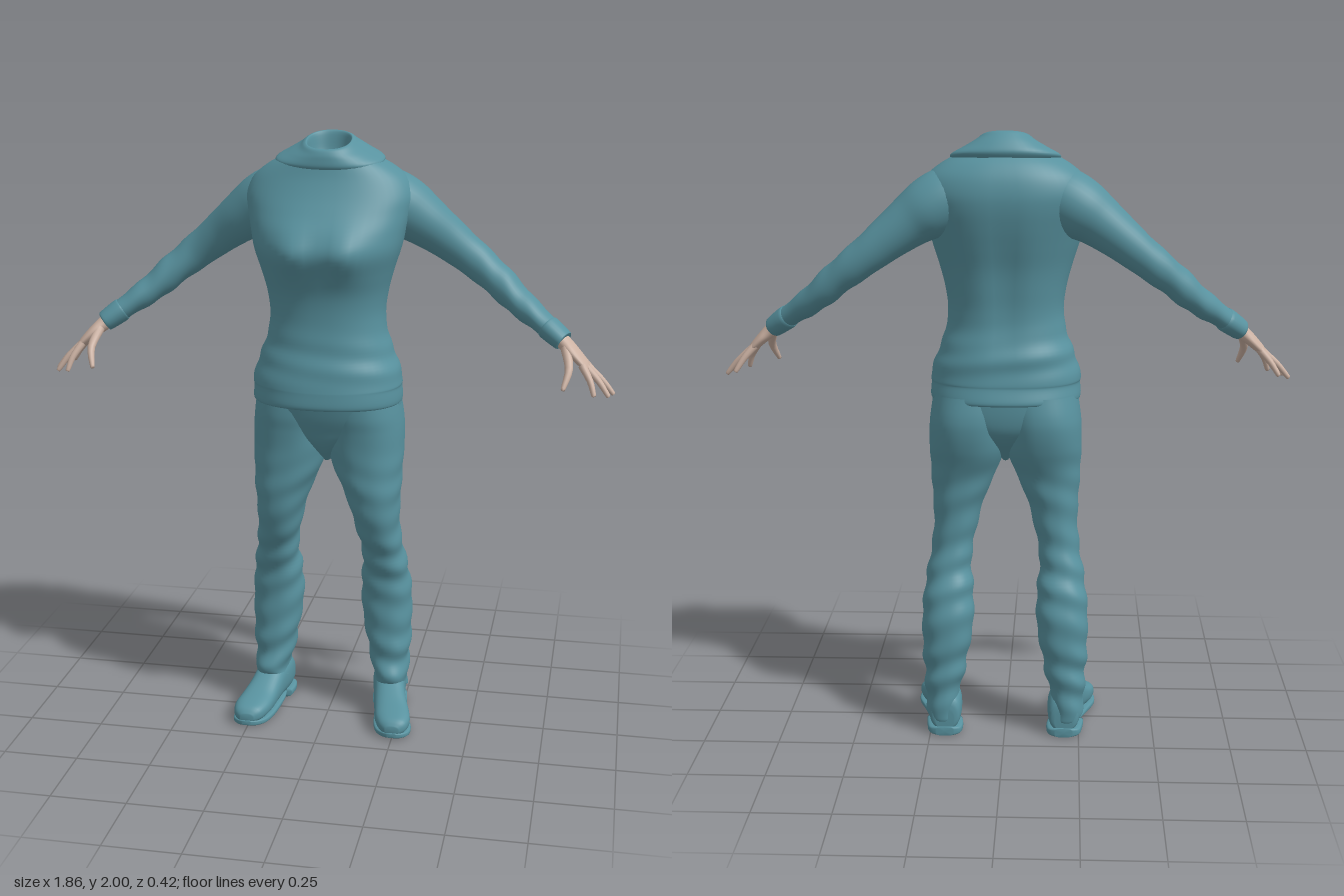
import * as THREE from 'three';

const clothMat = new THREE.MeshStandardMaterial({ color: 0x58929f });
clothMat.name = 'teal cloth';
const skinMat = new THREE.MeshStandardMaterial({ color: 0xccb2a3 });
skinMat.name = 'skin';

const V = (x, y, z) => new THREE.Vector3(x, y, z);
const spow = (c, p) => Math.sign(c) * Math.abs(c) ** p;
const bell = (x, c, w) => Math.exp(-(((x - c) / w) ** 2));

// Smoothly interpolates a table of section rows
function smooth(rows, steps) {
  const at = i => rows[Math.max(0, Math.min(rows.length - 1, i))];
  const out = [];
  for (let i = 0; i < rows.length - 1; i++) {
    for (let k = 0; k < steps; k++) {
      const t = k / steps;
      out.push(rows[i].map((b, n) => {
        const a = at(i - 1)[n], c = at(i + 1)[n], d = at(i + 2)[n];
        return b + 0.5 * t * (c - a + t * (2 * a - 5 * b + 4 * c - d + t * (3 * (b - c) + d - a)));
      }));
    }
  }
  out.push(rows[rows.length - 1]);
  return out;
}

// Skins closed rings of points; side = -1 mirrors the part across x
function loft(name, rings, mat, { side = 1, capStart = false, capEnd = false, deform } = {}) {
  const n = rings[0].length, pos = [], idx = [];
  const add = v => pos.push(v.x * side, v.y, v.z);
  const tri = (a, b, c) => (side > 0 ? idx.push(a, b, c) : idx.push(a, c, b));
  rings.forEach(r => r.forEach(v => { if (deform) deform(v); add(v); }));
  for (let i = 0; i < rings.length - 1; i++) {
    for (let j = 0; j < n; j++) {
      const a = i * n + j, b = i * n + (j + 1) % n;
      tri(a, a + n, b);
      tri(b, a + n, b + n);
    }
  }
  const cap = (ring, start, flip) => {
    const c = pos.length / 3;
    add(ring.reduce((s, v) => s.add(v), V(0, 0, 0)).divideScalar(n));
    for (let j = 0; j < n; j++) {
      const a = start + j, b = start + (j + 1) % n;
      flip ? tri(c, a, b) : tri(c, b, a);
    }
  };
  if (capStart) cap(rings[0], 0, true);
  if (capEnd) cap(rings[rings.length - 1], (rings.length - 1) * n, false);
  const g = new THREE.BufferGeometry();
  g.setAttribute('position', new THREE.Float32BufferAttribute(pos, 3));
  g.setIndex(idx);
  g.computeVertexNormals();
  const m = new THREE.Mesh(g, mat);
  m.name = name;
  return m;
}

const ring = (n, f) => Array.from({ length: n }, (_, j) => {
  const t = (j / n) * Math.PI * 2;
  return f(Math.cos(t), Math.sin(t));
});

// Level sections, bottom to top: [y, x min, x max, z front, z back, tilt]
const stack = (rows, steps = 5, p = 0.88) => smooth(rows, steps).map(([y, x0, x1, zf, zb, tilt]) =>
  ring(48, (c, s) => {
    const dz = spow(s, p) * (zf - zb) / 2;
    return V((x0 + x1) / 2 + spow(c, p) * (x1 - x0) / 2, y + dz * tilt, (zf + zb) / 2 + dz);
  }));
const centred = rows => rows.map(([y, w, zf, zb, tilt = 0]) => [y, -w, w, zf, zb, tilt]);

// Sections across a path: [x, y, z, thickness radius, width radius]
function limb(rows, steps = 5, n = 24) {
  const r = smooth(rows, steps);
  return r.map(([x, y, z, ra, rb], i) => {
    const a = r[Math.max(0, i - 1)], b = r[Math.min(r.length - 1, i + 1)];
    const d = V(b[0] - a[0], b[1] - a[1], b[2] - a[2]).normalize();
    const u = d.clone().cross(V(0, 0, 1)).normalize();
    const w = u.clone().cross(d);
    return ring(n, (c, s) => V(x, y, z).addScaledVector(u, c * ra).addScaledVector(w, s * rb));
  });
}

// Sections from back to front of a shoe: [z, x centre, half width, y bottom, y top]
const shoeRings = (rows, p) => smooth(rows, 4).map(([z, x, w, y0, y1]) =>
  ring(32, (c, s) => V(x + spow(c, p) * w, (y0 + y1) / 2 - spow(s, p) * (y1 - y0) / 2, z)));

function shapeTorso(v) {
  // bust, spine groove and soft folds over the waist
  if (v.z > 0) v.z += 0.028 * bell(Math.abs(v.x), 0.085, 0.06) * bell(v.y, 1.64, 0.075);
  else v.z += 0.014 * bell(v.x, 0, 0.045) * bell(v.y, 1.55, 0.22);
  const fold = 1 + 0.014 * Math.sin(v.y * 75 + v.x * 9) * bell(v.y, 1.29, 0.08);
  v.x *= fold;
  v.z *= fold;
}

function shapeLeg(v) {
  // creases at the thigh, knee and ankle
  const k = 0.004 * bell(v.y, 0.55, 0.16) + 0.005 * bell(v.y, 0.2, 0.12) + 0.002 * bell(v.y, 0.85, 0.1);
  const f = k * Math.sin(v.y * 62 + v.x * 22 + v.z * 16);
  v.x += f * Math.sign(v.x - 0.19) * Math.min(1, Math.abs(v.x - 0.19) * 20);
  v.z += f * Math.sign(v.z + 0.06) * Math.min(1, Math.abs(v.z + 0.06) * 20);
}

export function createModel() {
  const model = new THREE.Group();
  model.name = 'clothedFigure';

  // Sweater body
  model.add(loft('sweaterBody', stack(centred([
    [1.145, 0.2, 0.14, -0.16], [1.138, 0.238, 0.172, -0.188], [1.15, 0.246, 0.183, -0.196],
    [1.19, 0.244, 0.18, -0.184], [1.205, 0.246, 0.178, -0.183], [1.25, 0.236, 0.172, -0.178],
    [1.3, 0.218, 0.16, -0.174], [1.36, 0.197, 0.152, -0.156], [1.43, 0.188, 0.148, -0.152],
    [1.5, 0.196, 0.155, -0.158], [1.57, 0.214, 0.175, -0.167], [1.64, 0.236, 0.194, -0.183],
    [1.7, 0.25, 0.178, -0.196], [1.76, 0.265, 0.142, -0.205], [1.81, 0.272, 0.112, -0.205],
    [1.86, 0.25, 0.088, -0.193], [1.9, 0.202, 0.075, -0.17], [1.93, 0.145, 0.068, -0.14],
  ])), clothMat, { deform: shapeTorso }));

  // Collar, folded over into the neck opening
  model.add(loft('collar', stack(centred([
    [1.905, 0.165, 0.072, -0.15, -0.15], [1.922, 0.175, 0.08, -0.156, -0.16],
    [1.945, 0.134, 0.079, -0.142, -0.19], [1.964, 0.097, 0.076, -0.121, -0.25],
    [1.977, 0.079, 0.068, -0.104, -0.27], [1.975, 0.069, 0.056, -0.09, -0.27],
    [1.935, 0.062, 0.045, -0.08, -0.1], [1.915, 0.05, 0.035, -0.07, 0],
  ])), clothMat, { capEnd: true }));

  // Seat of the trousers
  model.add(loft('trouserSeat', stack(centred([
    [0.93, 0.012, 0.03, -0.06], [0.97, 0.045, 0.075, -0.105], [1.01, 0.11, 0.105, -0.145],
    [1.05, 0.19, 0.122, -0.17], [1.1, 0.238, 0.142, -0.18], [1.165, 0.238, 0.16, -0.182],
  ])), clothMat, { capStart: true }));

  const fingers = {
    indexFinger: [[0.825, 1.297, 0.05], [0.852, 1.255, 0.075], [0.866, 1.213, 0.092]],
    middleFinger: [[0.83, 1.295, 0.03], [0.877, 1.25, 0.045], [0.91, 1.205, 0.057]],
    ringFinger: [[0.83, 1.295, 0.005], [0.885, 1.248, 0.01], [0.924, 1.203, 0.013]],
    littleFinger: [[0.825, 1.3, -0.018], [0.86, 1.26, -0.031], [0.886, 1.22, -0.041]],
    thumb: [[0.77, 1.345, 0.025], [0.785, 1.292, 0.078], [0.771, 1.237, 0.117]],
  };

  for (const side of [1, -1]) {
    const pre = side > 0 ? 'left' : 'right';
    const put = (name, rings, mat, opts) => model.add(loft(pre + name, rings, mat, { side, ...opts }));

    // Sleeve and cuff
    put('Sleeve', limb([
      [0.12, 1.81, -0.06, 0.085, 0.09], [0.18, 1.79, -0.072, 0.1, 0.102], [0.24, 1.757, -0.085, 0.098, 0.1],
      [0.3, 1.718, -0.092, 0.083, 0.087], [0.38, 1.658, -0.107, 0.068, 0.07], [0.465, 1.592, -0.113, 0.058, 0.06],
      [0.54, 1.533, -0.098, 0.052, 0.06], [0.6, 1.48, -0.078, 0.047, 0.06], [0.67, 1.428, -0.045, 0.039, 0.053],
      [0.735, 1.383, -0.015, 0.032, 0.045],
    ], 6, 32), clothMat, {
      capStart: true,
      deform: v => { v.y += 0.003 * Math.sin(v.x * 70 + v.z * 20) * bell(v.x, 0.58, 0.14); },
    });
    put('Cuff', limb([
      [0.705, 1.403, -0.03, 0.034, 0.047], [0.712, 1.398, -0.027, 0.039, 0.051],
      [0.755, 1.367, -0.007, 0.035, 0.047], [0.762, 1.362, -0.004, 0.031, 0.042],
      [0.755, 1.367, -0.007, 0.026, 0.034],
    ], 3), clothMat);

    // Hand
    put('Palm', limb([
      [0.735, 1.383, -0.015, 0.024, 0.032], [0.765, 1.356, -0.003, 0.024, 0.034],
      [0.795, 1.33, 0.008, 0.02, 0.046], [0.83, 1.296, 0.015, 0.015, 0.047],
      [0.842, 1.283, 0.016, 0.009, 0.04],
    ], 4), skinMat, { capEnd: true });
    for (const [name, [root, mid, tip]] of Object.entries(fingers)) {
      const k = name === 'thumb' ? 1.25 : 1;
      const end = tip.map((t, i) => t + (t - mid[i]) * 0.06);
      put(name[0].toUpperCase() + name.slice(1), limb([
        [...root, 0.013 * k, 0.013 * k], [...mid, 0.0105 * k, 0.0105 * k],
        [...tip, 0.0075, 0.0075], [...end, 0.003, 0.003],
      ], 4, 12), skinMat, { capEnd: true });
    }

    // Trouser leg
    put('TrouserLeg', stack([
      [0.1, 0.165, 0.25, -0.01, -0.155, 0.4], [0.085, 0.152, 0.266, 0.008, -0.175, 0.4],
      [0.12, 0.155, 0.266, 0.012, -0.178, 0.3], [0.2, 0.138, 0.271, 0.001, -0.18, 0],
      [0.3, 0.118, 0.276, 0, -0.185, 0], [0.4, 0.105, 0.277, 0, -0.185, 0],
      [0.5, 0.108, 0.269, 0.01, -0.165, 0], [0.6, 0.114, 0.252, 0.042, -0.134, 0],
      [0.7, 0.095, 0.24, 0.088, -0.125, 0], [0.8, 0.068, 0.243, 0.113, -0.13, 0],
      [0.9, 0.025, 0.248, 0.12, -0.143, 0], [0.98, 0.0, 0.251, 0.123, -0.172, 0],
      [1.05, -0.005, 0.25, 0.13, -0.187, 0], [1.1, -0.01, 0.245, 0.138, -0.187, 0],
      [1.16, -0.02, 0.236, 0.14, -0.175, 0],
    ], 8), clothMat, { deform: shapeLeg });

    // Shoe with a sole and a separate heel
    put('Shoe', shoeRings([
      [-0.172, 0.2, 0.03, 0.02, 0.09], [-0.16, 0.2, 0.05, 0.016, 0.13], [-0.1, 0.203, 0.058, 0.016, 0.16],
      [-0.03, 0.212, 0.055, 0.018, 0.145], [0.02, 0.222, 0.056, 0.016, 0.118], [0.07, 0.235, 0.06, 0.012, 0.092],
      [0.12, 0.245, 0.06, 0.012, 0.078], [0.16, 0.25, 0.046, 0.012, 0.066], [0.178, 0.251, 0.022, 0.018, 0.046],
    ], 0.8), clothMat, { capStart: true, capEnd: true });
    put('Sole', shoeRings([
      [-0.075, 0.208, 0.045, 0.016, 0.03], [-0.03, 0.214, 0.053, 0.01, 0.026], [0.03, 0.226, 0.058, 0, 0.022],
      [0.09, 0.24, 0.065, 0, 0.022], [0.14, 0.248, 0.058, 0, 0.022], [0.17, 0.251, 0.037, 0.003, 0.024],
      [0.182, 0.251, 0.014, 0.008, 0.024],
    ], 0.5), clothMat, { capStart: true, capEnd: true });
    put('Heel', shoeRings([
      [-0.18, 0.2, 0.028, 0, 0.03], [-0.165, 0.2, 0.053, 0, 0.03],
      [-0.12, 0.202, 0.061, 0, 0.03], [-0.075, 0.207, 0.06, 0, 0.03],
    ], 0.5), clothMat, { capStart: true, capEnd: true });
  }
  return model;
}
